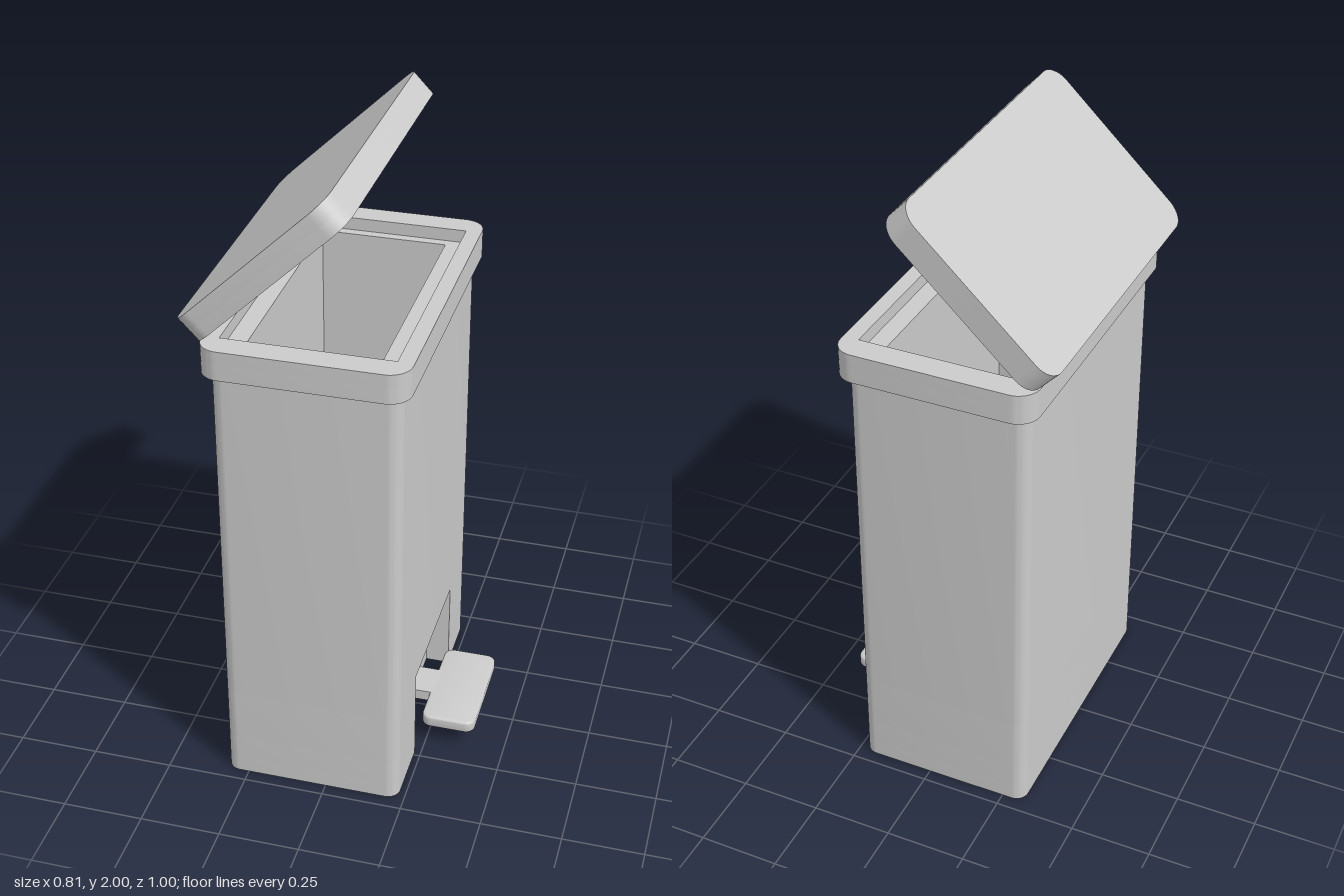
import * as THREE from 'three';
import { toCreasedNormals } from 'three/addons/utils/BufferGeometryUtils.js';

const material = new THREE.MeshStandardMaterial({ color: 0xcccccc });

// Rectangle in plan (x0..x1, symmetric in z) with rounded corners
function plan(x0, x1, halfZ, r, Kind = THREE.Shape) {
  const s = new Kind();
  if (!r) return s.setFromPoints([[x0, -halfZ], [x1, -halfZ], [x1, halfZ], [x0, halfZ], [x0, -halfZ]]
    .map(p => new THREE.Vector2(...p)));
  s.absarc(x1 - r, -halfZ + r, r, -Math.PI / 2, 0);
  s.absarc(x1 - r, halfZ - r, r, 0, Math.PI / 2);
  s.absarc(x0 + r, halfZ - r, r, Math.PI / 2, Math.PI);
  s.absarc(x0 + r, -halfZ + r, r, Math.PI, Math.PI * 1.5);
  s.closePath();
  return s;
}

// Plan shape with one rectangular opening
function frame(outer, x0, x1, halfZ) {
  outer.holes.push(plan(x0, x1, halfZ, 0, THREE.Path));
  return outer;
}

// Upright slab of a plan shape between two heights
function slab(name, shape, y0, y1, bevel = 0) {
  const geo = new THREE.ExtrudeGeometry(shape, {
    depth: y1 - y0 - 2 * bevel, curveSegments: 5, bevelEnabled: bevel > 0,
    bevelSize: bevel, bevelThickness: bevel, bevelOffset: -bevel, bevelSegments: 3,
  });
  geo.rotateX(-Math.PI / 2).translate(0, y0 + bevel, 0);
  const mesh = new THREE.Mesh(toCreasedNormals(geo, 0.6), material);
  mesh.name = name;
  return mesh;
}

// Body outline whose +x side steps in, given as [x, halfZ] notch levels
function notchedPlan(levels) {
  const x0 = -0.32, x1 = 0.23, h = 0.46, r = 0.04;
  const s = new THREE.Shape();
  s.absarc(x1 - r, -h + r, r, -Math.PI / 2, 0);
  let x = x1;
  for (const [nx, z] of levels) {
    s.lineTo(x, -z);
    s.lineTo(nx, -z);
    x = nx;
  }
  for (let i = levels.length - 1; i >= 0; i--) {
    s.lineTo(levels[i][0], levels[i][1]);
    s.lineTo(i ? levels[i - 1][0] : x1, levels[i][1]);
  }
  s.absarc(x1 - r, h - r, r, 0, Math.PI / 2);
  s.absarc(x0 + r, h - r, r, Math.PI / 2, Math.PI);
  s.absarc(x0 + r, -h + r, r, Math.PI, Math.PI * 1.5);
  s.closePath();
  return s;
}

export function createModel() {
  const model = new THREE.Group();
  model.name = 'pedalBin';

  // Base of the body with the pedal recess and the slot behind the pedal
  const recess = [0.155, 0.235], slot = [0.05, 0.078];
  const body = new THREE.Group();
  body.name = 'body';
  body.add(
    slab('baseBelowSlot', notchedPlan([recess]), 0, 0.055),
    slab('baseAroundSlot', notchedPlan([recess, slot]), 0.055, 0.135),
    slab('baseAboveSlot', notchedPlan([recess]), 0.135, 0.305),
    // Hollow walls
    slab('walls', frame(plan(-0.32, 0.23, 0.46, 0.04), -0.24, 0.15, 0.39), 0.305, 1.43),
  );

  // Overhanging rim with a stepped opening
  const rim = new THREE.Group();
  rim.name = 'rim';
  rim.add(
    slab('rimLedge', frame(plan(-0.345, 0.255, 0.5, 0.065), -0.24, 0.15, 0.39), 1.43, 1.48),
    slab('rimCollar', frame(plan(-0.345, 0.255, 0.5, 0.065), -0.297, 0.207, 0.42), 1.48, 1.52),
  );

  // Open lid, hinged on the -x edge and hollow underneath
  const lid = new THREE.Group();
  lid.name = 'lid';
  lid.add(
    slab('lidSkirt', frame(plan(0, 0.6, 0.5, 0.065), 0.048, 0.552, 0.42), 0, 0.04),
    slab('lidTop', plan(0, 0.6, 0.5, 0.065), 0.04, 0.085),
  );
  lid.position.set(-0.345, 1.525, 0);
  lid.rotation.z = THREE.MathUtils.degToRad(43.6);

  // Foot pedal and the arm that runs into the slot
  const pedal = new THREE.Group();
  pedal.name = 'pedal';
  pedal.add(
    slab('pedalPlate', plan(0.235, 0.405, 0.18, 0.03), 0.065, 0.105, 0.008),
    slab('pedalArm', plan(0.06, 0.25, 0.06, 0), 0.07, 0.105),
  );

  model.add(body, rim, lid, pedal);
  return model;
}
